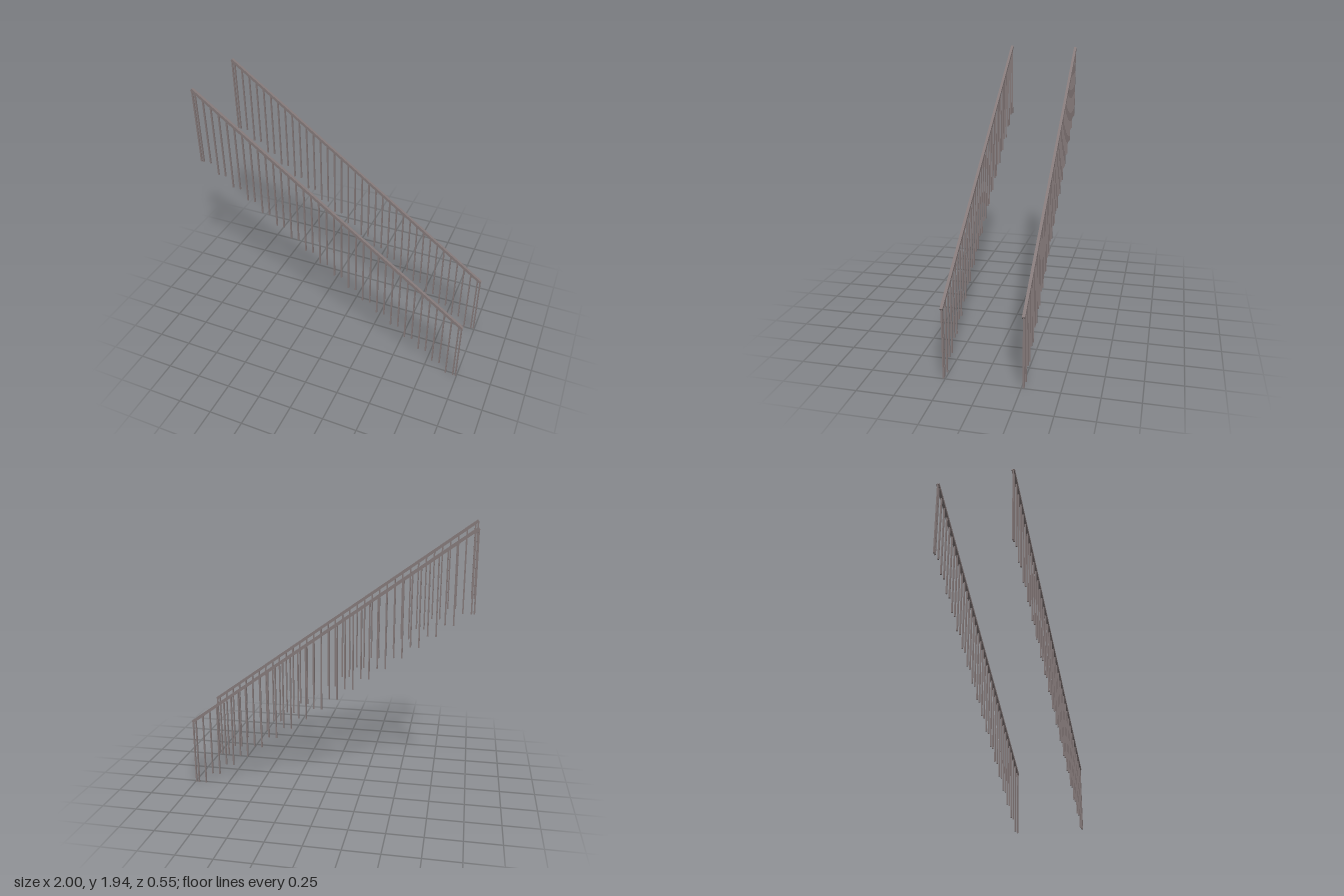
import * as THREE from 'three';

export function createModel() {
  const model = new THREE.Group();
  const material = new THREE.MeshStandardMaterial({ color: 0x857a7a });

  const angle = Math.atan(0.728);
  const railLength = 2.462, railSize = 0.02, barSize = 0.01;
  const centreY = 1.208, railZ = 0.263;
  const railY = x => centreY - 0.728 * x;
  const stepCount = 18, stepRise = 0.081, barSpacing = 0.0556;

  const railGeometry = new THREE.BoxGeometry(railLength, railSize, railSize);

  // Upright from its tread up into the handrail
  function addBar(parent, name, x, bottom) {
    const height = railY(x) - bottom;
    const bar = new THREE.Mesh(new THREE.BoxGeometry(barSize, height, barSize), material);
    bar.name = name;
    bar.position.set(x, bottom + height / 2, 0);
    parent.add(bar);
  }

  for (const side of [1, -1]) {
    const railing = new THREE.Group();
    railing.name = side > 0 ? 'frontRailing' : 'backRailing';
    railing.position.z = side * railZ;

    // Sloping handrail
    const rail = new THREE.Mesh(railGeometry, material);
    rail.name = 'handrail';
    rail.position.y = centreY;
    rail.rotation.z = -angle;
    railing.add(rail);

    // Two balusters per stair step, descending towards +x
    for (let i = 0; i < stepCount * 2; i++) {
      const step = Math.floor(i / 2);
      addBar(railing, 'baluster', -0.975 + i * barSpacing, (stepCount - 1 - step) * stepRise);
    }

    // End posts
    addBar(railing, 'topEndPost', -0.994, (stepCount - 1) * stepRise);
    addBar(railing, 'bottomEndPost', 0.992, 0);
    model.add(railing);
  }
  return model;
}
